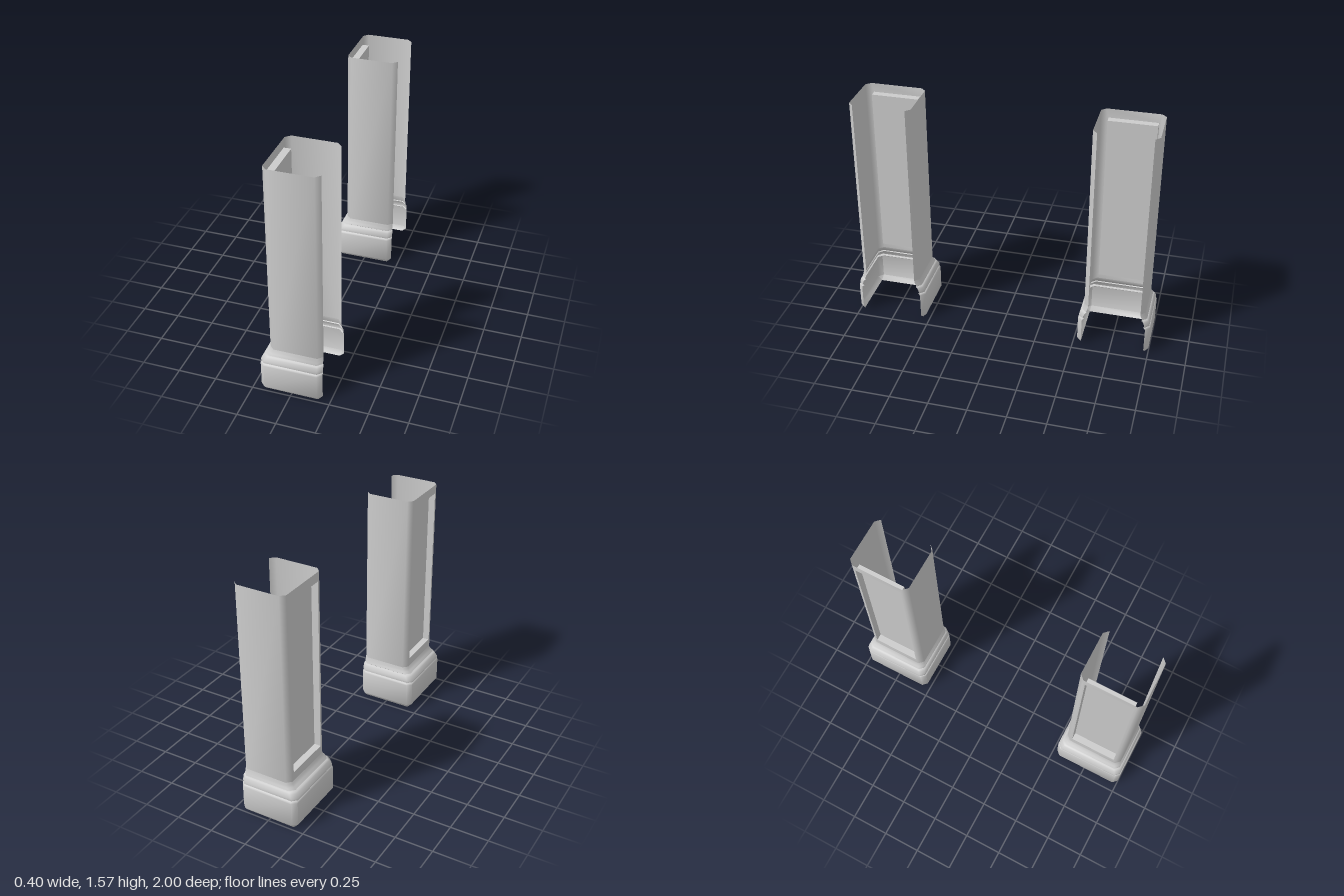
import * as THREE from 'three';
import { mergeGeometries, toCreasedNormals } from 'three/addons/utils/BufferGeometryUtils.js';

const material = new THREE.MeshStandardMaterial({ color: 0xcccccc, side: THREE.DoubleSide });

// U-shaped outline, open at +x, with chamfered corners and turned-in lips
function outline([y, xl, hz, c, xr]) {
  const half = [[xr, hz - c], [xr - c, hz], [xl + c, hz], [xl, hz - c]];
  const mirrored = half.map(([x, z]) => [x, -z]).reverse();
  return [...half, ...mirrored].map(([x, z]) => [x, y, z]);
}

// Skin stacked outlines; 'skip' leaves one segment of the path open
function loft(rings, skip = -1) {
  const rows = rings.map(outline);
  const n = rows[0].length;
  const index = [];
  for (let i = 0; i < rows.length - 1; i++) {
    for (let j = 0; j < n - 1; j++) {
      if (j === skip) continue;
      const a = i * n + j, d = a + n;
      index.push(a, d, a + 1, a + 1, d, d + 1);
    }
  }
  const geometry = new THREE.BufferGeometry();
  geometry.setAttribute('position', new THREE.Float32BufferAttribute(rows.flat(2), 3));
  geometry.setIndex(index);
  return geometry.toNonIndexed();
}

function rectangle(Type, hw, y0, y1) {
  const p = new Type();
  p.moveTo(-hw, y0);
  p.lineTo(hw, y0);
  p.lineTo(hw, y1);
  p.lineTo(-hw, y1);
  p.closePath();
  return p;
}

function createPillar(name) {
  const pillar = new THREE.Group();
  pillar.name = name;
  const add = (part, geometry) => {
    const mesh = new THREE.Mesh(geometry, material);
    mesh.name = part;
    pillar.add(mesh);
    return mesh;
  };

  // Shaft: U-shaped shell whose -x wall has a rectangular opening
  const wall = rectangle(THREE.Shape, 0.17, 0.31, 1.57);
  wall.holes.push(rectangle(THREE.Path, 0.155, 0.37, 1.51));
  const face = new THREE.ShapeGeometry(wall).toNonIndexed();
  face.deleteAttribute('normal');
  face.deleteAttribute('uv');
  face.rotateY(-Math.PI / 2).translate(-0.145, 0, 0);
  const sides = loft([[0.31, -0.145, 0.2, 0.03, 0.195], [1.57, -0.145, 0.2, 0.03, 0.195]], 3);
  add('shaft', toCreasedNormals(mergeGeometries([sides, face]), 0.9));

  // Recessed panel: open box, without its -x side
  const box = new THREE.BoxGeometry(0.045, 1.14, 0.31);
  const faces = Array.from(box.index.array);
  faces.splice(6, 6);
  box.setIndex(faces);
  box.clearGroups();
  add('recessedPanel', box).position.set(-0.1225, 0.94, 0);

  // Base block, bevelled towards an open bottom
  add('base', toCreasedNormals(loft([
    [0, -0.17, 0.2125, 0, 0.17],
    [0.03, -0.2, 0.2375, 0.03, 0.2],
    [0.195, -0.2, 0.2375, 0.03, 0.2],
    [0.205, -0.195, 0.233, 0.03, 0.2],
    [0.21, -0.183, 0.222, 0.03, 0.197],
  ]), 0.9));

  // Rounded band and the flare that meets the shaft
  add('moulding', toCreasedNormals(loft([
    [0.21, -0.183, 0.222, 0.03, 0.197],
    [0.213, -0.2, 0.231, 0.03, 0.2],
    [0.225, -0.198, 0.231, 0.03, 0.2],
    [0.25, -0.185, 0.222, 0.03, 0.2],
    [0.258, -0.178, 0.216, 0.03, 0.198],
    [0.262, -0.165, 0.208, 0.03, 0.195],
    [0.266, -0.171, 0.213, 0.03, 0.195],
    [0.28, -0.158, 0.208, 0.03, 0.195],
    [0.295, -0.148, 0.203, 0.03, 0.195],
    [0.31, -0.145, 0.2, 0.03, 0.195],
  ]), 0.9));
  return pillar;
}

export function createModel() {
  const model = new THREE.Group();
  model.name = 'pillarPair';
  for (const [name, z] of [['frontPillar', 0.7625], ['backPillar', -0.7625]]) {
    const pillar = createPillar(name);
    pillar.position.z = z;
    model.add(pillar);
  }
  return model;
}
